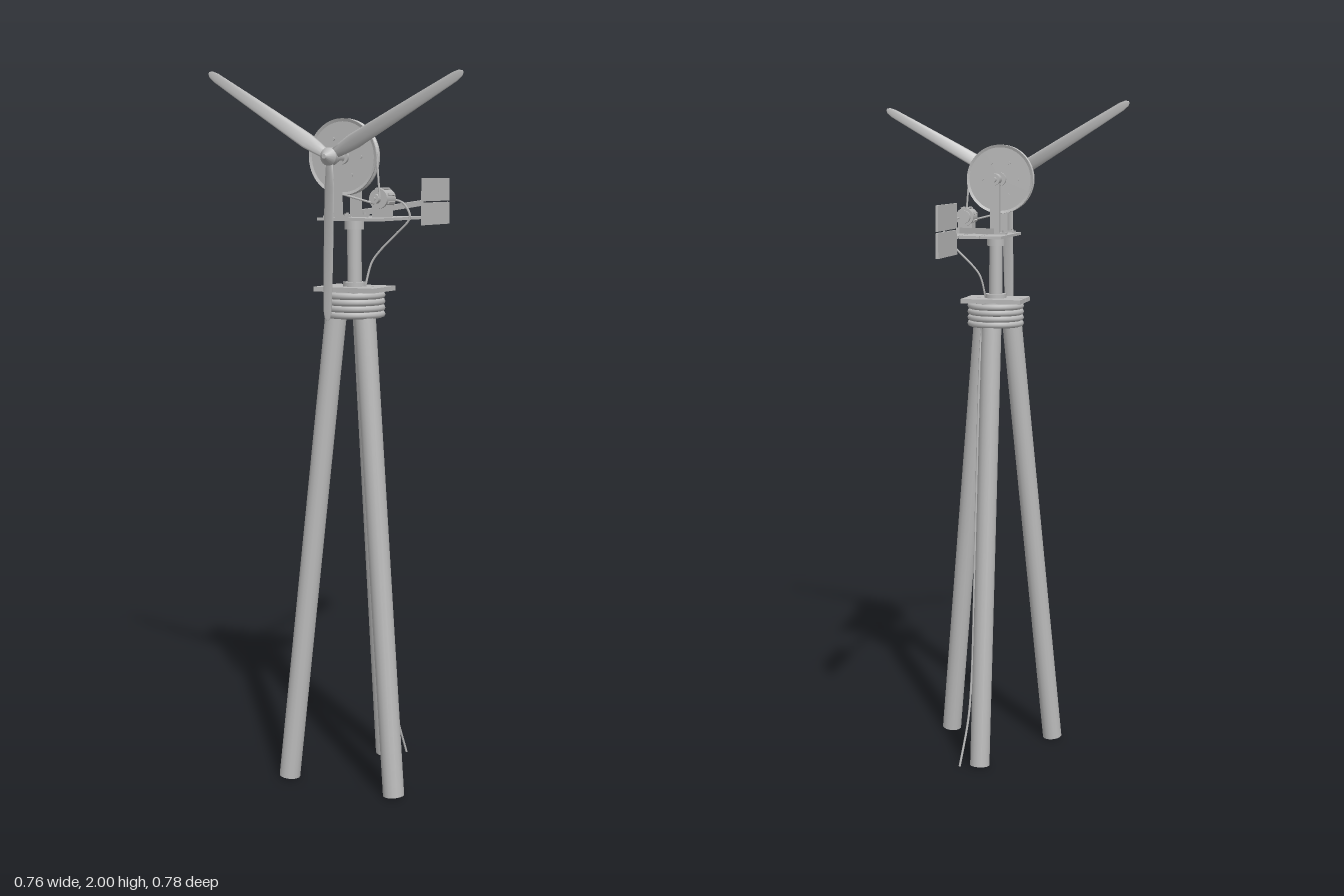
import * as THREE from 'three';

const X = -0.007;   // mast axis in x
const Z = 0.217;    // mast axis in z
const AXLE_Y = 1.773;

const grey = new THREE.MeshStandardMaterial({ color: 0xbababa });
grey.name = 'weathered grey';

const V = (x, y, z) => new THREE.Vector3(x, y, z);

export function createModel() {
  const model = new THREE.Group();
  model.name = 'windTurbine';

  function add(name, geometry, x = 0, y = 0, z = 0, parent = model) {
    const mesh = new THREE.Mesh(geometry, grey);
    mesh.name = name;
    mesh.position.set(x, y, z);
    parent.add(mesh);
    return mesh;
  }
  const box = (name, x0, x1, y0, y1, z0, z1) =>
    add(name, new THREE.BoxGeometry(x1 - x0, y1 - y0, z1 - z0), (x0 + x1) / 2, (y0 + y1) / 2, (z0 + z1) / 2);
  // Cylinder between two points
  function rod(name, a, b, radius, sides = 16, endRadius = radius) {
    const dir = b.clone().sub(a);
    const mesh = add(name, new THREE.CylinderGeometry(endRadius, radius, dir.length(), sides));
    mesh.position.copy(a).add(b).multiplyScalar(0.5);
    mesh.quaternion.setFromUnitVectors(V(0, 1, 0), dir.normalize());
    return mesh;
  }
  const alongZ = (name, x, y, z0, z1, radius, sides = 20) => rod(name, V(x, y, z0), V(x, y, z1), radius, sides);
  const cable = (name, points, radius) =>
    add(name, new THREE.TubeGeometry(new THREE.CatmullRomCurve3(points, false, 'centripetal'), 48, radius, 6));

  // Tripod: two legs splay to the front, one to the back
  for (const [name, degrees] of [['rightLeg', 150], ['leftLeg', 30], ['backLeg', 270]]) {
    const c = Math.cos(degrees * Math.PI / 180), s = Math.sin(degrees * Math.PI / 180);
    rod(name, V(X + 0.193 * c, 0.007, Z + 0.193 * s), V(X + 0.045 * c, 1.408, Z + 0.045 * s), 0.03);
  }

  // Rope lashing around the top of the legs
  for (let i = 0; i < 4; i++) {
    const coil = add('ropeCoil', new THREE.TorusGeometry(0.076, 0.0095, 8, 32), X, 1.346 + i * 0.0175, Z);
    coil.rotation.x = Math.PI / 2;
  }

  // Lower deck of two planks
  box('lowerPlank', -0.098, 0.085, 1.409, 1.422, 0.148, 0.215);
  box('lowerPlank', -0.098, 0.085, 1.409, 1.422, 0.218, 0.286);

  // Turning mast with collars
  rod('mast', V(X, 1.40, Z), V(X, 1.605, Z), 0.02);
  rod('lowerCollar', V(X, 1.42, Z), V(X, 1.434, Z), 0.032, 20);
  rod('upperCollar', V(X, 1.578, Z), V(X, 1.605, Z), 0.027, 20);

  // Upper deck of three planks
  for (const [x0, x1] of [[-0.055, 0.008], [0.011, 0.071], [0.075, 0.135]])
    box('upperPlank', x0, x1, 1.604, 1.612, 0.083, 0.342);

  // Bearing posts: foot plate, bolts, upright, bearing block
  for (const z of [0.207, 0.319]) {
    box('bearingFoot', X - 0.035, X + 0.035, 1.612, 1.618, z - 0.014, z + 0.014);
    for (const side of [-1, 1])
      rod('footBolt', V(X + side * 0.027, 1.617, z), V(X + side * 0.027, 1.623, z), 0.004, 6);
    box('bearingPost', X - 0.014, X + 0.014, 1.612, AXLE_Y, z - 0.008, z + 0.008);
    alongZ('bearing', X, AXLE_Y, z - 0.015, z + 0.015, 0.017);
  }
  alongZ('axle', X, AXLE_Y, 0.178, 0.36, 0.008);

  // Large grooved drive wheel
  const wheelProfile = [[0, -0.009], [0.094, -0.009], [0.102, -0.012], [0.102, -0.007], [0.096, -0.001],
    [0.096, 0.001], [0.102, 0.007], [0.102, 0.012], [0.094, 0.009], [0, 0.009]].map(p => new THREE.Vector2(...p));
  const wheelGeometry = new THREE.LatheGeometry(wheelProfile, 48).toNonIndexed();
  wheelGeometry.computeVertexNormals();
  add('driveWheel', wheelGeometry, X, AXLE_Y, 0.275).rotation.x = Math.PI / 2;
  alongZ('wheelHub', X, AXLE_Y, 0.257, 0.293, 0.02);
  for (let i = 0; i < 6; i++) {
    const a = i * Math.PI / 3;
    alongZ('wheelBolt', X + 0.055 * Math.cos(a), AXLE_Y + 0.055 * Math.sin(a), 0.262, 0.288, 0.005, 6);
  }

  // Generator on its saddle, with cooling ribs and a small pulley
  const gx = 0.087, gy = 1.662;
  box('generatorSaddle', gx - 0.022, gx + 0.022, 1.612, 1.645, 0.212, 0.252);
  alongZ('generatorBody', gx, gy, 0.205, 0.26, 0.027, 24);
  alongZ('generatorRearCap', gx, gy, 0.195, 0.206, 0.019);
  for (let i = 0; i < 8; i++) {
    const a = (i + 0.5) * Math.PI / 4;
    const rib = add('coolingRib', new THREE.BoxGeometry(0.006, 0.006, 0.036),
      gx + 0.028 * Math.cos(a), gy + 0.028 * Math.sin(a), 0.232);
    rib.rotation.z = a;
  }
  alongZ('generatorShaft', gx, gy, 0.255, 0.288, 0.005, 12);
  alongZ('smallPulley', gx, gy, 0.268, 0.283, 0.013);

  // Belt: both outer tangents between wheel and pulley
  const dx = gx - X, dy = gy - AXLE_Y, R = 0.098, r = 0.013;
  const base = Math.atan2(dy, dx), spread = Math.acos((R - r) / Math.hypot(dx, dy));
  for (const side of [-1, 1]) {
    const c = Math.cos(base + side * spread), s = Math.sin(base + side * spread);
    rod('driveBelt', V(X + R * c, AXLE_Y + R * s, 0.275), V(gx + r * c, gy + r * s, 0.275), 0.003, 8);
  }

  // Power cable from generator to mast, then down the back leg
  cable('upperCable', [V(0.1, 1.66, 0.192), V(0.127, 1.65, 0.188), V(0.146, 1.612, 0.184), V(0.105, 1.565, 0.187),
    V(0.06, 1.52, 0.193), V(0.037, 1.488, 0.198), V(0.022, 1.42, 0.21)], 0.0032);
  cable('lowerCable', [V(0.022, 1.42, 0.205), V(0.026, 1.3, 0.165), V(0.027, 0.8, 0.11), V(0.027, 0.26, 0.053),
    V(0.033, 0.14, 0.035), V(0.05, 0.006, -0.002)], 0.0035);

  // Tail boom with a vane of two boards
  const boomStart = V(X, 1.623, 0.17), boomEnd = V(X, 1.643, -0.223);
  const boom = add('tailBoom', new THREE.BoxGeometry(0.01, 0.016, boomStart.distanceTo(boomEnd)));
  boom.position.copy(boomStart).add(boomEnd).multiplyScalar(0.5);
  boom.lookAt(boomEnd);
  box('lowerVane', 0.0, 0.007, 1.577, 1.644, -0.393, -0.202);
  box('upperVane', 0.0, 0.007, 1.648, 1.716, -0.393, -0.202);

  // Rotor: hub, nose cone and three twisted blades
  const rotor = new THREE.Group();
  rotor.name = 'rotor';
  rotor.position.set(X, AXLE_Y, 0.357);
  model.add(rotor);
  add('hub', new THREE.CylinderGeometry(0.024, 0.024, 0.018, 16), 0, 0, 0, rotor).rotation.x = Math.PI / 2;
  add('noseCone', new THREE.CylinderGeometry(0.006, 0.024, 0.024, 16), 0, 0, 0.021, rotor).rotation.x = Math.PI / 2;
  const blade = bladeGeometry();
  for (const degrees of [28.7, 148.7, 268.7])
    add('blade', blade, 0, 0, 0, rotor).rotation.z = degrees * Math.PI / 180;

  return model;
}

// Blade along +x, lofted from flattened oval sections: [distance, chord, thickness, pitch]
function bladeGeometry() {
  const sections = [[0.01, 0.026, 0.014, 0.5], [0.045, 0.036, 0.012, 0.5], [0.08, 0.043, 0.01, 0.46],
    [0.2, 0.037, 0.008, 0.3], [0.32, 0.031, 0.006, 0.17], [0.41, 0.026, 0.004, 0.08],
    [0.428, 0.019, 0.003, 0.06], [0.436, 0.006, 0.002, 0.05]];
  const sides = 10, positions = [], index = [];
  for (const [x, chord, thickness, pitch] of sections) {
    for (let i = 0; i < sides; i++) {
      const a = i / sides * Math.PI * 2;
      const u = Math.cos(a) * chord / 2, w = Math.sin(a) * thickness / 2;
      positions.push(x, u * Math.cos(pitch) - w * Math.sin(pitch), u * Math.sin(pitch) + w * Math.cos(pitch));
    }
  }
  for (let s = 0; s < sections.length - 1; s++) {
    for (let i = 0; i < sides; i++) {
      const a = s * sides + i, b = s * sides + (i + 1) % sides;
      index.push(a, b, b + sides, a, b + sides, a + sides);
    }
  }
  const last = (sections.length - 1) * sides;
  for (let i = 1; i < sides - 1; i++) index.push(0, i + 1, i, last, last + i, last + i + 1);
  const geometry = new THREE.BufferGeometry();
  geometry.setAttribute('position', new THREE.Float32BufferAttribute(positions, 3));
  geometry.setIndex(index);
  geometry.computeVertexNormals();
  return geometry;
}
